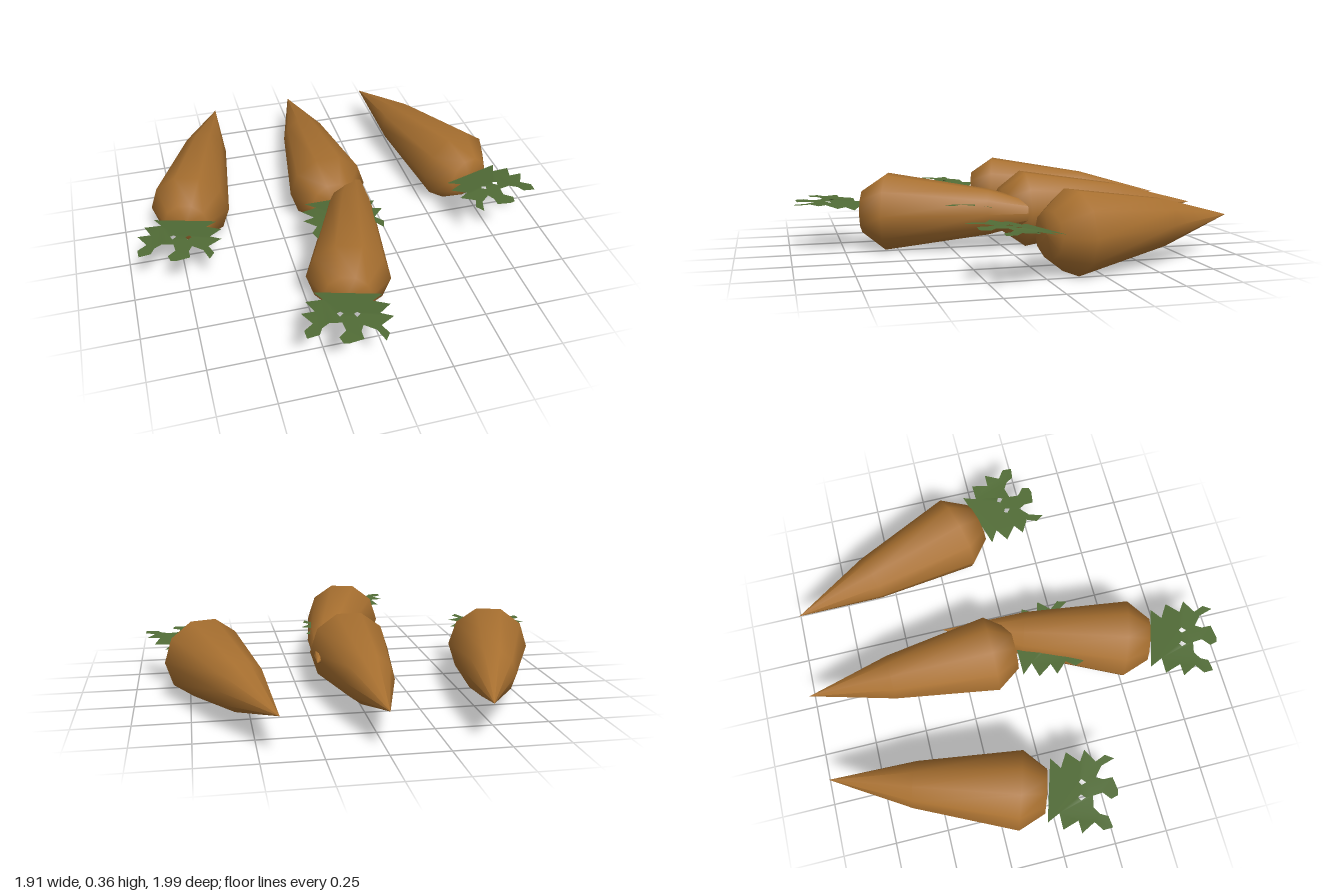
import * as THREE from 'three';

const ROOT_LENGTH = 1.012;

// Ten-sided tapering root, tip at the origin, crown towards +z
function rootGeometry() {
  const profile = [[0, 0], [0.11, 0.4], [0.187, 0.89], [0.104, 1.005], [0, ROOT_LENGTH]]
    .map(([r, y]) => new THREE.Vector2(r, y));
  return new THREE.LatheGeometry(profile, 10, Math.PI / 2).rotateX(Math.PI / 2);
}

// Flat jagged leaf sheet spreading from the crown, gently lifted at its far end
function leafGeometry() {
  const half = [
    [0.148, 0.005], [0.104, 0.056], [0.178, 0.076], [0.135, 0.142], [0.191, 0.16],
    [0.139, 0.214], [0.172, 0.255], [0.158, 0.298], [0.108, 0.276], [0.1, 0.238],
    [0.072, 0.208], [0.02, 0.205], [0.003, 0.248], [0.03, 0.287], [0.012, 0.318],
  ];
  const outline = [
    ...half,
    [-0.012, 0.318], [-0.07, 0.292], [-0.058, 0.25], [-0.066, 0.215], [-0.12, 0.24],
    ...half.slice(0, 8).reverse().map(([u, v]) => [-u, v]),
  ];
  const toVectors = (list) => list.map(([u, v]) => new THREE.Vector2(u, v));
  const shape = new THREE.Shape(toVectors(outline));
  // Small gaps between the fronds
  for (const u of [-0.04, 0.03]) {
    shape.holes.push(new THREE.Path(toVectors(
      [[u - 0.014, 0.15], [u, 0.138], [u + 0.014, 0.152], [u, 0.172]])));
  }
  const geometry = new THREE.ShapeGeometry(shape);
  const p = geometry.attributes.position;
  for (let i = 0; i < p.count; i++) {
    const v = p.getY(i);
    const lift = 0.024 + 0.026 * Math.min(1, v / 0.16);
    p.setXYZ(i, -p.getX(i), lift, ROOT_LENGTH + v);
  }
  geometry.computeVertexNormals();
  return geometry;
}

export function createModel() {
  const model = new THREE.Group();
  model.name = 'carrots';

  const orange = new THREE.MeshStandardMaterial({ color: 0xa87030 });
  orange.name = 'carrotOrange';
  const green = new THREE.MeshStandardMaterial({ color: 0x526d37, side: THREE.DoubleSide });
  green.name = 'leafGreen';

  const rootShape = rootGeometry();
  const leafShape = leafGeometry();

  // Tip position (x, z) and turn of each carrot
  const carrots = [
    ['rightCarrot', -0.42, -0.98, -0.295],
    ['leftCarrot', 0.42, -0.98, 0.295],
    ['middleCarrot', 0, -1, 0],
    ['frontCarrot', 0.18, -0.31, -0.295],
  ];
  for (const [name, x, z, turn] of carrots) {
    const carrot = new THREE.Group();
    carrot.name = name;
    const root = new THREE.Mesh(rootShape, orange);
    root.name = 'root';
    const leaves = new THREE.Mesh(leafShape, green);
    leaves.name = 'leaves';
    // Leaf sheet is mirrored on the left carrot
    if (turn > 0) leaves.scale.x = -1;
    carrot.add(root, leaves);
    carrot.position.set(x, 0.18, z);
    carrot.rotation.y = turn;
    model.add(carrot);
  }
  return model;
}
